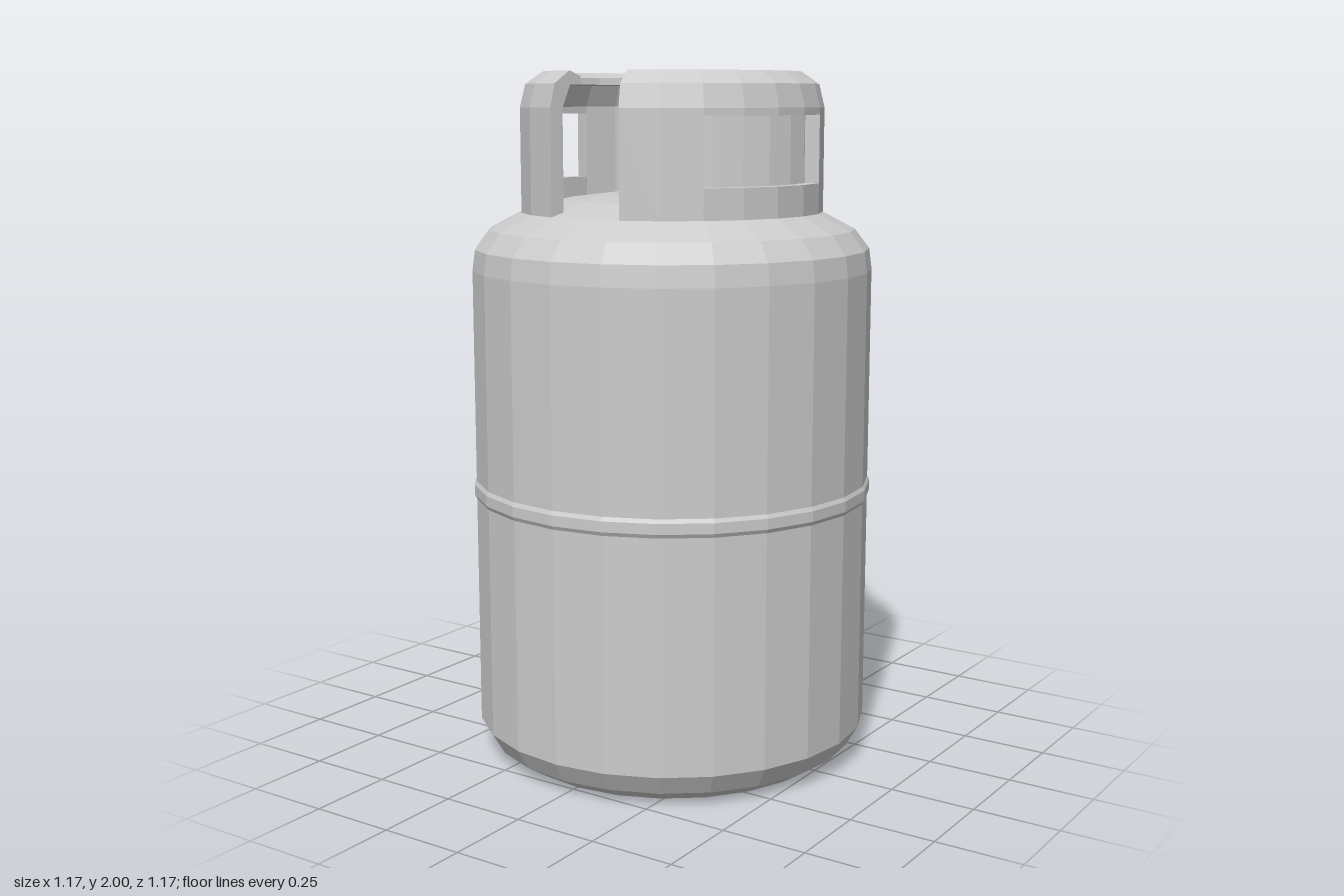
import * as THREE from 'three';

const grey = new THREE.MeshStandardMaterial({ color: 0xcccccc, flatShading: true });
const greyBoth = new THREE.MeshStandardMaterial({ color: 0xcccccc, flatShading: true, side: THREE.DoubleSide });
const STEP = Math.PI / 12; // one of 24 sides

const toPoints = (list) => list.map(([r, y]) => new THREE.Vector2(r, y));

// Revolve a profile from side number a to side number b
function revolve(name, profile, a = 0, b = 24, sides = b - a) {
  const geo = new THREE.LatheGeometry(toPoints(profile), sides, a * STEP, (b - a) * STEP);
  const mesh = new THREE.Mesh(geo, grey);
  mesh.name = name;
  return mesh;
}

// Flat end face of a revolved section
function endFace(name, profile, a) {
  const mesh = new THREE.Mesh(new THREE.ShapeGeometry(new THREE.Shape(toPoints(profile))), greyBoth);
  mesh.name = name;
  mesh.rotation.y = a * STEP - Math.PI / 2;
  return mesh;
}

function createCollar() {
  const collar = new THREE.Group();
  collar.name = 'collar';
  const outer = 0.437, inner = 0.395;
  const curledTop = [[0.421, 1.965], [0.37, 2], [0.332, 1.985], [0.328, 1.965], [0.368, 1.962], [inner, 1.9]];
  const wall = [[outer, 1.595], [outer, 1.9], ...curledTop, [inner, 1.595]];
  const lowerRail = [[outer, 1.595], [outer, 1.69], [inner, 1.69], [inner, 1.595]];
  const upperRail = [[inner, 1.88], [outer, 1.88], [outer, 1.9], ...curledTop];
  const close = (p) => [...p, p[0]];

  // Solid walls beside the front gap and across the back
  for (const [a, b] of [[1, 3], [7, 17], [21, 23]]) {
    collar.add(revolve('collarWall', close(wall), a, b));
    collar.add(endFace('collarEnd', wall, a), endFace('collarEnd', wall, b));
  }
  // Rails below and above the two hand holes
  for (const [a, b] of [[3, 7], [17, 21]]) {
    collar.add(revolve('lowerRail', close(lowerRail), a, b));
    collar.add(revolve('upperRail', close(upperRail), a, b));
  }
  return collar;
}

export function createModel() {
  const model = new THREE.Group();
  model.name = 'gasCylinder';

  // Tank with recessed base, rounded shoulders and shallow dome
  model.add(revolve('tank', [
    [0, 0.05], [0.43, 0.05], [0.43, 0], [0.483, 0], [0.545, 0.04], [0.58, 0.1],
    [0.58, 1.44], [0.572, 1.5], [0.53, 1.555], [0.435, 1.605],
    [0.31, 1.64], [0.13, 1.662], [0, 1.666],
  ]));

  // Weld seam around the middle
  model.add(revolve('weldSeam', [[0.578, 0.77], [0.586, 0.785], [0.586, 0.815], [0.578, 0.83]]));

  model.add(createCollar());

  // Valve with a small round knob
  model.add(revolve('valve', [
    [0.042, 1.655], [0.038, 1.675], [0.024, 1.7], [0.024, 1.71], [0.042, 1.718],
    [0.042, 1.73], [0.03, 1.737], [0, 1.742],
  ], 0, 24, 16));

  return model;
}
